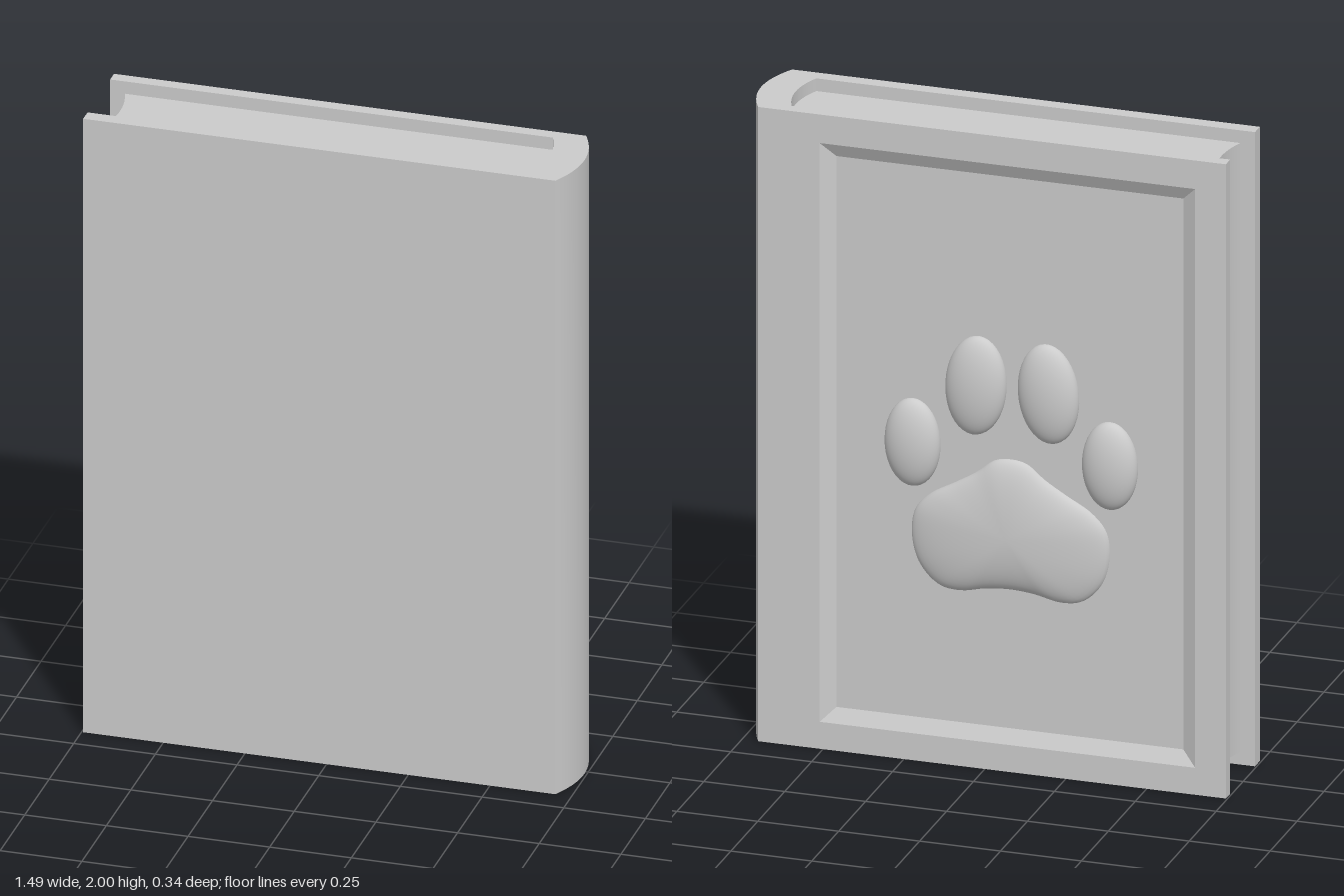
import * as THREE from 'three';
import { toCreasedNormals } from 'three/addons/utils/BufferGeometryUtils.js';

const material = new THREE.MeshStandardMaterial({ color: 0xcccccc });
const FORE = -0.745, HINGE = 0.70;          // fore edge and spine hinge (x)
const BACK = -0.145, FRONT = 0.17;          // outer cover faces (z)
const IN_BACK = -0.105, IN_FRONT = 0.125;   // inner cover faces (z)
const FLOOR = -0.122;                       // floor of the sunken back panel (z)
const MID = 0.0125;

function add(group, name, geometry) {
  const mesh = new THREE.Mesh(geometry, material);
  mesh.name = name;
  group.add(mesh);
  return mesh;
}

// Extrudes a plan drawn in (x, -z) upwards from y0 to y1
function extrudeUp(shape, y0, y1) {
  const g = new THREE.ExtrudeGeometry(shape, { depth: y1 - y0, bevelEnabled: false, curveSegments: 20 });
  g.rotateX(-Math.PI / 2).translate(0, y0, 0);
  return toCreasedNormals(g, 0.4);
}

// C-shaped cover with a rounded spine; the back board stops at the panel floor
function coverShape() {
  const s = new THREE.Shape();
  s.moveTo(FORE, -FRONT);
  s.lineTo(HINGE, -FRONT);
  s.quadraticCurveTo(HINGE + 0.085, -MID, HINGE, -BACK);
  s.lineTo(HINGE, -FLOOR);
  s.lineTo(FORE, -FLOOR);
  s.lineTo(FORE, -IN_BACK);
  s.lineTo(0.61, -IN_BACK);
  s.quadraticCurveTo(0.66, -0.01, 0.61, -IN_FRONT);
  s.lineTo(FORE, -IN_FRONT);
  s.closePath();
  return s;
}

// Page block: convex at the spine, hollow at the fore edge
function pagesShape() {
  const s = new THREE.Shape();
  s.moveTo(-0.70, -IN_FRONT);
  s.lineTo(0.61, -IN_FRONT);
  s.quadraticCurveTo(0.66, -0.01, 0.61, -IN_BACK);
  s.lineTo(-0.70, -IN_BACK);
  s.quadraticCurveTo(-0.66, -0.01, -0.70, -IN_FRONT);
  return s;
}

// Raised border with sloping inner edges, made from four rectangular loops
function borderGeometry() {
  const w = 0.044;
  const loops = [
    [FORE, HINGE, 0, 2, FLOOR],
    [FORE, HINGE, 0, 2, BACK],
    [-0.65, 0.51, 0.085, 1.91, BACK],
    [-0.65 + w, 0.51 - w, 0.085 + w, 1.91 - w, FLOOR],
  ].map(([x0, x1, y0, y1, z]) => [[x0, y0, z], [x0, y1, z], [x1, y1, z], [x1, y0, z]]);
  const pos = [];
  for (let r = 0; r < 3; r++) {
    for (let i = 0; i < 4; i++) {
      const j = (i + 1) % 4;
      const [a, b, c, d] = [loops[r][i], loops[r][j], loops[r + 1][j], loops[r + 1][i]];
      pos.push(...a, ...b, ...c, ...a, ...c, ...d);
    }
  }
  const g = new THREE.BufferGeometry();
  g.setAttribute('position', new THREE.Float32BufferAttribute(pos, 3));
  g.computeVertexNormals();
  return g;
}

// Domed pad: a closed outline shrinking towards its centre as it rises
function padGeometry() {
  const cx = -0.073, cy = 0.74, height = 0.052, rings = 14, n = 96;
  const half = [[0.05, 0.968], [0.105, 0.925], [0.17, 0.885], [0.25, 0.838], [0.295, 0.785],
    [0.305, 0.70], [0.28, 0.615], [0.22, 0.556], [0.155, 0.546], [0.075, 0.562]];
  const outline = [[0, 0.977], ...half, [0, 0.568], ...half.slice().reverse().map(([x, y]) => [-x, y])];
  const curve = new THREE.CatmullRomCurve3(outline.map(([x, y]) => new THREE.Vector3(x, y - cy, 0)), true);
  const edge = curve.getSpacedPoints(n).slice(0, n);
  const pos = [], index = [];
  for (let r = 0; r < rings; r++) {
    const a = (r / rings) * Math.PI / 2;
    for (const p of edge) {
      pos.push(cx + p.x * Math.cos(a), cy + p.y * Math.cos(a), FLOOR - height * Math.sin(a));
    }
  }
  pos.push(cx, cy, FLOOR - height);
  for (let r = 0; r < rings; r++) {
    for (let i = 0; i < n; i++) {
      const j = (i + 1) % n, a = r * n + i, b = r * n + j;
      if (r === rings - 1) index.push(a, b, rings * n);
      else index.push(a, b, b + n, a, b + n, a + n);
    }
  }
  const g = new THREE.BufferGeometry();
  g.setAttribute('position', new THREE.Float32BufferAttribute(pos, 3));
  g.setIndex(index);
  g.computeVertexNormals();
  return g;
}

export function createModel() {
  const book = new THREE.Group();
  book.name = 'book';

  add(book, 'cover', extrudeUp(coverShape(), 0, 2));
  add(book, 'backBorder', borderGeometry());
  add(book, 'pages', extrudeUp(pagesShape(), 0.04, 1.96));

  // Small tab under the page block
  add(book, 'pageTab', new THREE.BoxGeometry(0.22, 0.02, 0.12)).position.set(0.23, 0.035, -0.01);

  // Paw relief on the back panel
  const paw = new THREE.Group();
  paw.name = 'pawRelief';
  book.add(paw);
  add(paw, 'mainPad', padGeometry());
  const toes = [ // x, y, half width, half height, tilt
    [0.23, 0.995, 0.086, 0.138, 0],
    [0.034, 1.198, 0.094, 0.156, 0.07],
    [-0.19, 1.198, 0.094, 0.156, -0.07],
    [-0.38, 0.995, 0.086, 0.138, 0],
  ];
  for (const [x, y, rx, ry, tilt] of toes) {
    // Half ellipsoid, dome towards the back
    const g = new THREE.SphereGeometry(1, 40, 14, 0, Math.PI * 2, 0, Math.PI / 2).rotateX(-Math.PI / 2);
    const toe = add(paw, 'toePad', g);
    toe.scale.set(rx, ry, 0.048);
    toe.rotation.z = tilt;
    toe.position.set(x, y, FLOOR);
  }
  return book;
}
